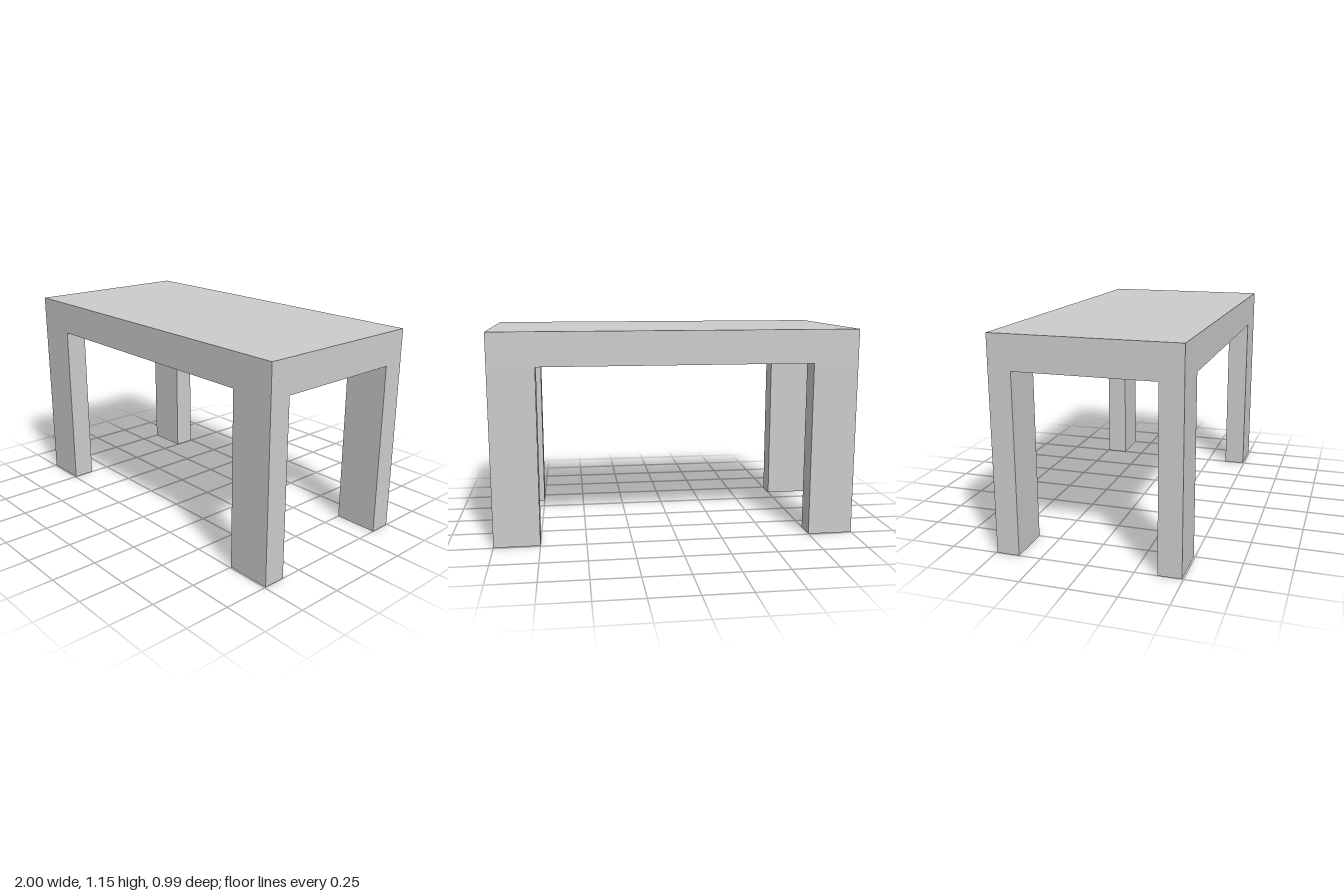
import * as THREE from 'three';

const WIDTH = 2, DEPTH = 0.986, HEIGHT = 1.154;
const LEG_WIDTH = 0.25, LEG_DEPTH = 0.123, LEG_HEIGHT = 0.97;

export function createModel() {
  const table = new THREE.Group();
  table.name = 'table';
  const material = new THREE.MeshStandardMaterial({ color: 0xcccccc, flatShading: true });

  const addBox = (name, w, h, d, x, y, z) => {
    const mesh = new THREE.Mesh(new THREE.BoxGeometry(w, h, d), material);
    mesh.name = name;
    mesh.position.set(x, y, z);
    table.add(mesh);
  };

  // Thick slab top
  const slab = HEIGHT - LEG_HEIGHT;
  addBox('tableTop', WIDTH, slab, DEPTH, 0, LEG_HEIGHT + slab / 2, 0);

  // Four legs flush with the corners of the top
  for (const [side, sx] of [['Left', 1], ['Right', -1]]) {
    for (const [end, sz] of [['front', 1], ['back', -1]]) {
      addBox(`${end}${side}Leg`, LEG_WIDTH, LEG_HEIGHT, LEG_DEPTH,
        sx * (WIDTH - LEG_WIDTH) / 2, LEG_HEIGHT / 2, sz * (DEPTH - LEG_DEPTH) / 2);
    }
  }
  return table;
}
